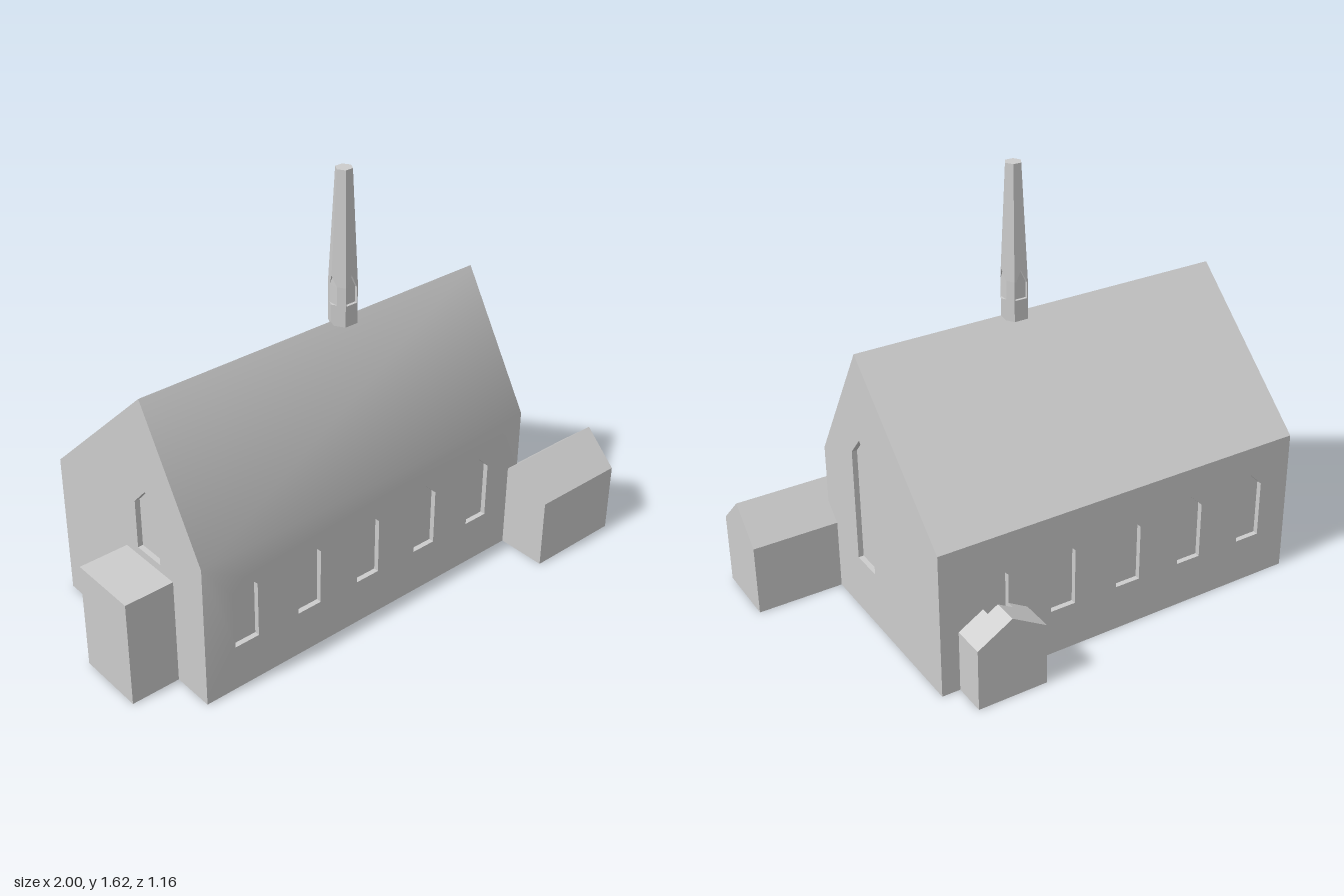
import * as THREE from 'three';
import { mergeGeometries, toCreasedNormals } from 'three/addons/utils/BufferGeometryUtils.js';

const stone = new THREE.MeshStandardMaterial({ color: 0xcccccc });
stone.name = 'pale stone grey';

const X0 = -0.81, X1 = 0.67, ZB = -0.455, ZF = 0.385; // nave footprint
const EAVE = 0.565, RIDGE = 1.065, RZ = 0.085;
const RECESS = 0.02;

const shapeOf = (pts) => new THREE.Shape(pts.map(([x, y]) => new THREE.Vector2(x, y)));

function fromTriangles(points) {
  const g = new THREE.BufferGeometry();
  g.setAttribute('position', new THREE.Float32BufferAttribute(points.flat(), 3));
  return g;
}
const quad = (a, b, c, d) => fromTriangles([a, b, c, a, c, d]);

function positionsOnly(g) {
  const n = g.index ? g.toNonIndexed() : g;
  n.deleteAttribute('normal');
  n.deleteAttribute('uv');
  return n;
}

// Pointed window outline, counter-clockwise
const lancet = (c, w, bottom, spring, apex) => [
  [c - w / 2, bottom], [c + w / 2, bottom], [c + w / 2, spring], [c, apex], [c - w / 2, spring],
];

// Wall facing +z with recessed windows, then turned and moved into place
function wall(outline, windows, angle, x, z) {
  const face = shapeOf(outline);
  const parts = [];
  for (const win of windows) {
    face.holes.push(shapeOf(win));
    parts.push(positionsOnly(new THREE.ShapeGeometry(shapeOf(win))).translate(0, 0, -RECESS));
    win.forEach((p, i) => {
      const q = win[(i + 1) % win.length];
      parts.push(quad([...p, 0], [...q, 0], [...q, -RECESS], [...p, -RECESS]));
    });
  }
  parts.push(positionsOnly(new THREE.ShapeGeometry(face)));
  return mergeGeometries(parts).rotateY(angle).translate(x, 0, z);
}

function createNave() {
  const centres = [-0.635, -0.36, -0.09, 0.185, 0.455];
  const sideWindows = (s) => centres.map((c) => lancet(s * c, 0.1, 0.18, 0.4, 0.45));
  const side = (a, b) => [[a, 0], [b, 0], [b, EAVE], [a, EAVE]];
  const gable = (s) => [[s * ZB, 0], [s * ZF, 0], [s * ZF, EAVE], [s * RZ, RIDGE], [s * ZB, EAVE]];
  const g = mergeGeometries([
    wall(side(X0, X1), sideWindows(1), 0, 0, ZF),
    wall(side(-X1, -X0), sideWindows(-1), Math.PI, 0, ZB),
    wall(gable(-1), [lancet(-RZ, 0.13, 0.22, 0.66, 0.735)], Math.PI / 2, X1, 0),
    wall(gable(1), [lancet(RZ, 0.13, 0.45, 0.64, 0.71)], -Math.PI / 2, X0, 0),
    // roof slopes and underside
    quad([X0, EAVE, ZF], [X1, EAVE, ZF], [X1, RIDGE, RZ], [X0, RIDGE, RZ]),
    quad([X1, EAVE, ZB], [X0, EAVE, ZB], [X0, RIDGE, RZ], [X1, RIDGE, RZ]),
    quad([X0, 0, ZB], [X1, 0, ZB], [X1, 0, ZF], [X0, 0, ZF]),
  ]);
  // the shallow bend at the front eave stays smooth
  return toCreasedNormals(g, THREE.MathUtils.degToRad(36));
}

// Hexagonal turret section: niches cut w wide (half) and d deep on four sides
function turretRing([y, r, w, d]) {
  const a = r * Math.sqrt(3) / 2, wc = Math.min(w, 0.011 * Math.sqrt(3));
  const tip = r - wc / Math.sqrt(3);
  const inner = d ? [r - d, wc] : [r, 0];
  const half = [
    [tip, -wc], [inner[0], -inner[1]], inner, [tip, wc],
    [r / 2, a], [w, a], [w, a - d], [-w, a - d], [-w, a], [-r / 2, a],
  ];
  return [...half, ...half.map(([x, z]) => [-x, -z])].map(([x, z]) => [x, y, z]);
}

function createTurret() {
  const rings = [
    [1.05, 0.054, 0.024, 0], [1.13, 0.054, 0.024, 0], [1.13, 0.054, 0.024, 0.011],
    [1.19, 0.054, 0.024, 0.011], [1.2, 0.054, 0.0192, 0.011],
    [1.24, 0.0518, 0, 0.009], [1.24, 0.0518, 0, 0], [1.62, 0.031, 0, 0],
  ].map(turretRing);
  const tris = [], n = rings[0].length, last = rings.length - 1;
  for (let i = 0; i < n; i++) {
    const j = (i + 1) % n;
    for (let k = 0; k < last; k++) {
      const [lo, hi] = [rings[k], rings[k + 1]];
      tris.push(lo[i], hi[i], hi[j], lo[i], hi[j], lo[j]);
    }
    tris.push([0, 1.62, 0], rings[last][j], rings[last][i]);
    tris.push([0, 1.05, 0], rings[0][i], rings[0][j]);
  }
  const g = fromTriangles(tris).translate(0.043, 0, RZ);
  g.computeVertexNormals();
  return g;
}

const prism = (pts, depth) =>
  new THREE.ExtrudeGeometry(shapeOf(pts), { depth, bevelEnabled: false });

export function createModel() {
  const model = new THREE.Group();
  model.name = 'chapel';
  const add = (name, geometry, parent = model) => {
    const mesh = new THREE.Mesh(geometry, stone);
    mesh.name = name;
    parent.add(mesh);
  };

  add('nave', createNave());
  add('turret', createTurret());

  // Gabled entrance at the front corner, ridge along x
  const entrance = [[-0.58, 0], [-0.32, 0], [-0.32, 0.275], [-0.45, 0.4], [-0.58, 0.275]];
  add('frontEntrance', prism(entrance, 0.38).rotateY(Math.PI / 2).translate(0.62, 0, 0));

  // Flat-topped annex at the end
  add('endAnnex', new THREE.BoxGeometry(0.19, 0.42, 0.27).translate(-0.905, 0.21, 0.085));

  // Gabled back porch, notched where it meets the window
  const porch = new THREE.Group();
  porch.name = 'backPorch';
  model.add(porch);
  const mid = 0.465, roofY = (x) => 0.32 - 0.08 * Math.abs(x - mid) / 0.135;
  const base = [[0.33, 0], [0.6, 0], [0.6, 0.24]];
  add('porchBody', prism([...base, [mid, 0.32], [0.33, 0.24]], 0.095).translate(0, 0, -0.58), porch);
  add('porchNotch', prism([
    ...base, [0.505, roofY(0.505)], [0.505, 0.18], [0.405, 0.18], [0.405, roofY(0.405)], [0.33, 0.24],
  ], 0.03).translate(0, 0, -0.485), porch);

  return model;
}
